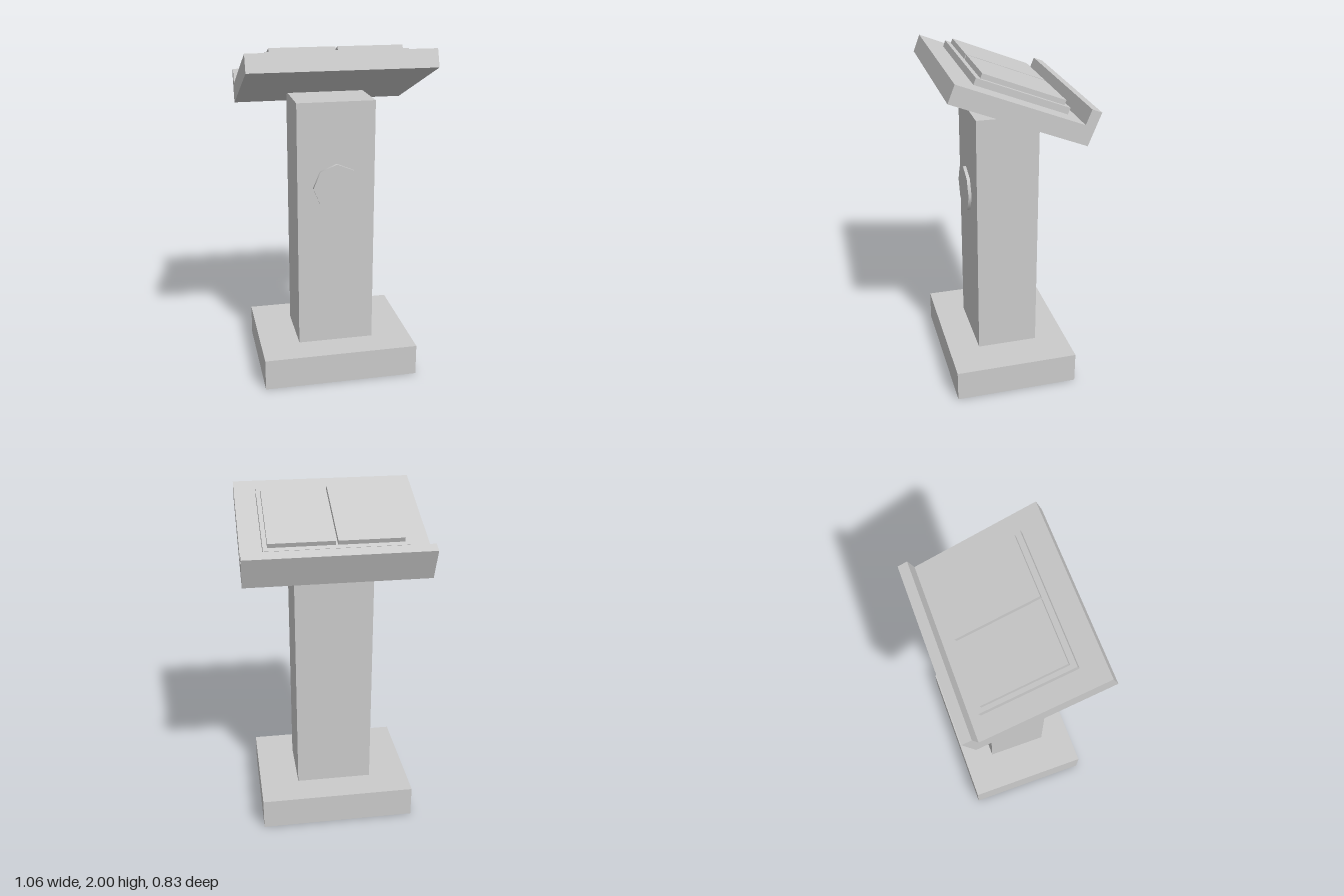
import * as THREE from 'three';

const material = new THREE.MeshStandardMaterial({ color: 0xcccccc });

// Box given by its [min, max] extents on each axis
function box(name, [x0, x1], [y0, y1], [z0, z1]) {
  const mesh = new THREE.Mesh(new THREE.BoxGeometry(x1 - x0, y1 - y0, z1 - z0), material);
  mesh.position.set((x0 + x1) / 2, (y0 + y1) / 2, (z0 + z1) / 2);
  mesh.name = name;
  return mesh;
}

export function createModel() {
  const model = new THREE.Group();
  model.name = 'lectern';

  // Foot and pillar
  model.add(box('base', [-0.467, 0.467], [0, 0.19], [-0.355, 0.391]));
  model.add(box('column', [-0.23, 0.23], [0.19, 1.69], [-0.165, 0.203]));

  // Eight-sided emblem plate just in front of the pillar
  const emblem = new THREE.Mesh(new THREE.CylinderGeometry(0.14, 0.14, 0.019, 8), material);
  emblem.name = 'emblemDisc';
  emblem.rotation.x = Math.PI / 2;
  emblem.position.set(0, 1.19, 0.223);
  model.add(emblem);

  // Tilted reading desk, hinged on its lower back edge
  const desk = new THREE.Group();
  desk.name = 'readingDesk';
  desk.position.set(0, 1.601, -0.34);
  desk.rotation.x = -0.376;

  // L-shaped board with a raised lip along the reader's edge
  const profile = new THREE.Shape(
    [[0, 0], [0.81, 0], [0.81, 0.106], [0.06, 0.106], [0.06, 0.196], [0, 0.196]]
      .map(([z, y]) => new THREE.Vector2(-z, y)).reverse()
  );
  const boardGeometry = new THREE.ExtrudeGeometry(profile, { depth: 1.056, bevelEnabled: false });
  boardGeometry.translate(0, 0, -0.528).rotateY(Math.PI / 2);
  const board = new THREE.Mesh(boardGeometry, material);
  board.name = 'boardWithLip';
  desk.add(board);

  // Open book: cover and two page blocks
  desk.add(box('bookCover', [-0.404, 0.404], [0.106, 0.144], [0.122, 0.679]));
  desk.add(box('leftPages', [0.006, 0.379], [0.144, 0.172], [0.15, 0.648]));
  desk.add(box('rightPages', [-0.379, -0.007], [0.144, 0.172], [0.15, 0.648]));
  model.add(desk);

  return model;
}
